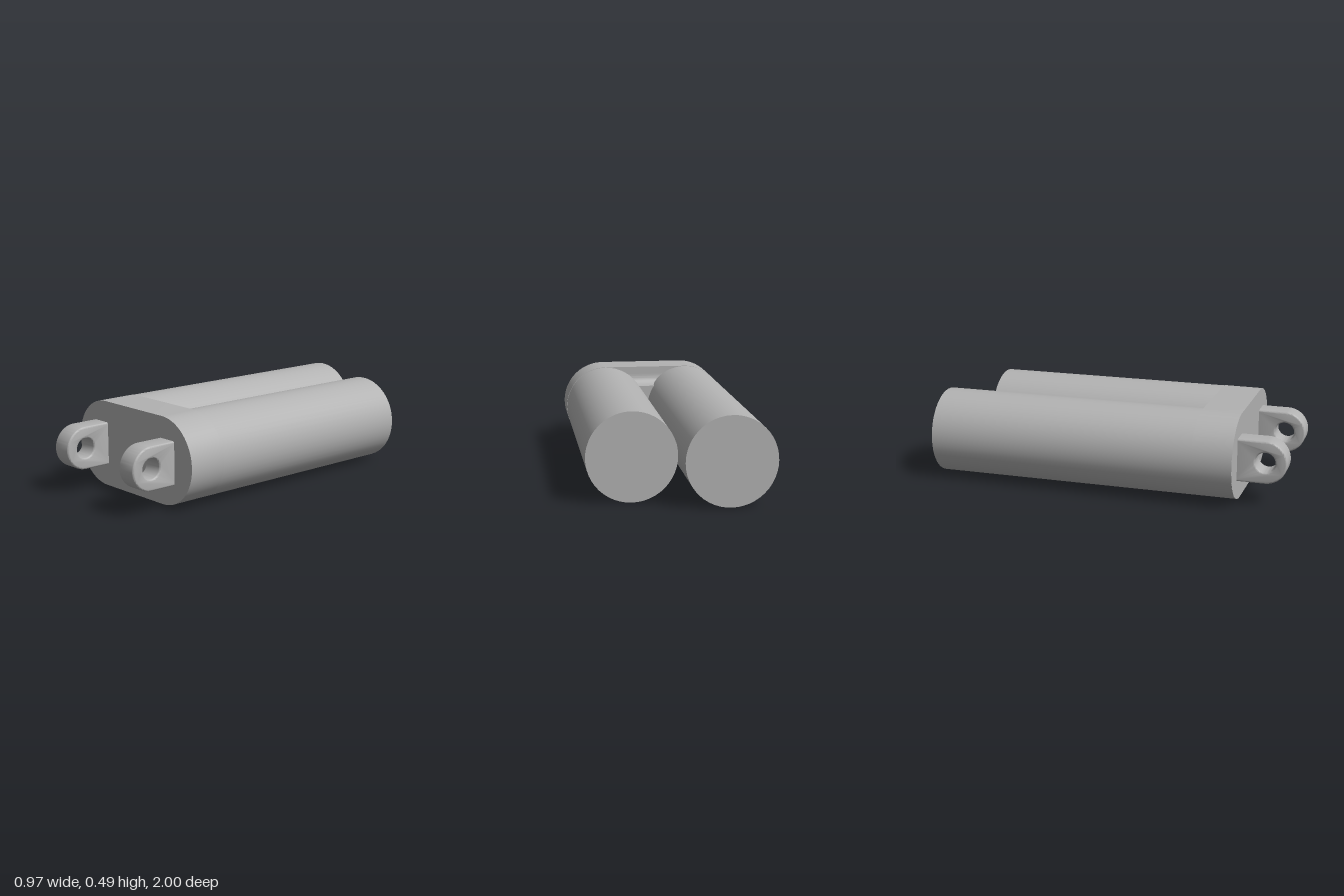
import * as THREE from 'three';
import { toCreasedNormals } from 'three/addons/utils/BufferGeometryUtils.js';

export function createModel() {
  const model = new THREE.Group();
  const grey = new THREE.MeshStandardMaterial({ color: 0xb2b2b2 });
  grey.name = 'grey';

  const add = (name, geometry) => {
    const mesh = new THREE.Mesh(geometry, grey);
    mesh.name = name;
    model.add(mesh);
    return mesh;
  };

  // Extrude a shape drawn as (z, y) sideways, centred on x
  const extrudeAcross = (shape, width, bevel = 0) => {
    const depth = width - 2 * bevel;
    const geometry = new THREE.ExtrudeGeometry(shape, {
      depth, curveSegments: 24, bevelEnabled: bevel > 0,
      bevelSize: bevel, bevelThickness: bevel, bevelOffset: -bevel, bevelSegments: 3,
    });
    geometry.translate(0, 0, -depth / 2).rotateY(-Math.PI / 2);
    return toCreasedNormals(geometry, 0.6);
  };

  // Front block with fully rounded sides
  const midY = 0.25, r = 0.239, half = 0.244;
  const outline = new THREE.Shape();
  outline.moveTo(-half, midY - r);
  outline.lineTo(half, midY - r);
  outline.absarc(half, midY, r, -Math.PI / 2, Math.PI / 2, false);
  outline.lineTo(-half, midY + r);
  outline.absarc(-half, midY, r, Math.PI / 2, Math.PI * 1.5, false);
  const block = new THREE.ExtrudeGeometry(outline, { depth: 0.22, bevelEnabled: false, curveSegments: 24 });
  block.translate(0, 0, 0.51);
  add('frontBlock', toCreasedNormals(block, 0.6));

  // Two barrels of different length, dropping slightly toward the back
  const barrel = (name, x, backZ) => {
    const frontZ = 0.728, slope = 0.0058;
    const yAt = (z) => 0.25 - (0.73 - z) * slope;
    const length = frontZ - backZ;
    const geometry = new THREE.CylinderGeometry(0.2385, 0.2385, length, 48);
    geometry.rotateX(Math.PI / 2 - slope);
    const mesh = add(name, geometry);
    mesh.position.set(x, yAt((frontZ + backZ) / 2), (frontZ + backZ) / 2);
  };
  barrel('rightBarrel', -0.2455, -0.999);
  barrel('leftBarrel', 0.2435, -0.838);

  // Filleted web between the barrels, behind the block
  const web = new THREE.Shape();
  web.moveTo(0.53, midY - 0.195);
  web.lineTo(0.51, midY - 0.195);
  web.quadraticCurveTo(0.51, midY - 0.13, 0.445, midY - 0.13);
  web.lineTo(0.445, midY + 0.13);
  web.quadraticCurveTo(0.51, midY + 0.13, 0.51, midY + 0.195);
  web.lineTo(0.53, midY + 0.195);
  add('web', extrudeAcross(web, 0.24));

  // Pierced mounting lugs with softened edges
  for (const [name, x] of [['leftLug', 0.284], ['rightLug', -0.284]]) {
    const lugY = 0.252, eyeZ = 0.881, lugR = 0.119;
    const lug = new THREE.Shape();
    lug.moveTo(0.71, lugY - lugR);
    lug.lineTo(eyeZ, lugY - lugR);
    lug.absarc(eyeZ, lugY, lugR, -Math.PI / 2, Math.PI / 2, false);
    lug.lineTo(0.71, lugY + lugR);
    lug.closePath();
    const eye = new THREE.Path();
    eye.absarc(eyeZ, lugY, 0.055, 0, Math.PI * 2, true);
    lug.holes.push(eye);
    add(name, extrudeAcross(lug, 0.119, 0.01)).position.x = x;
  }

  return model;
}
